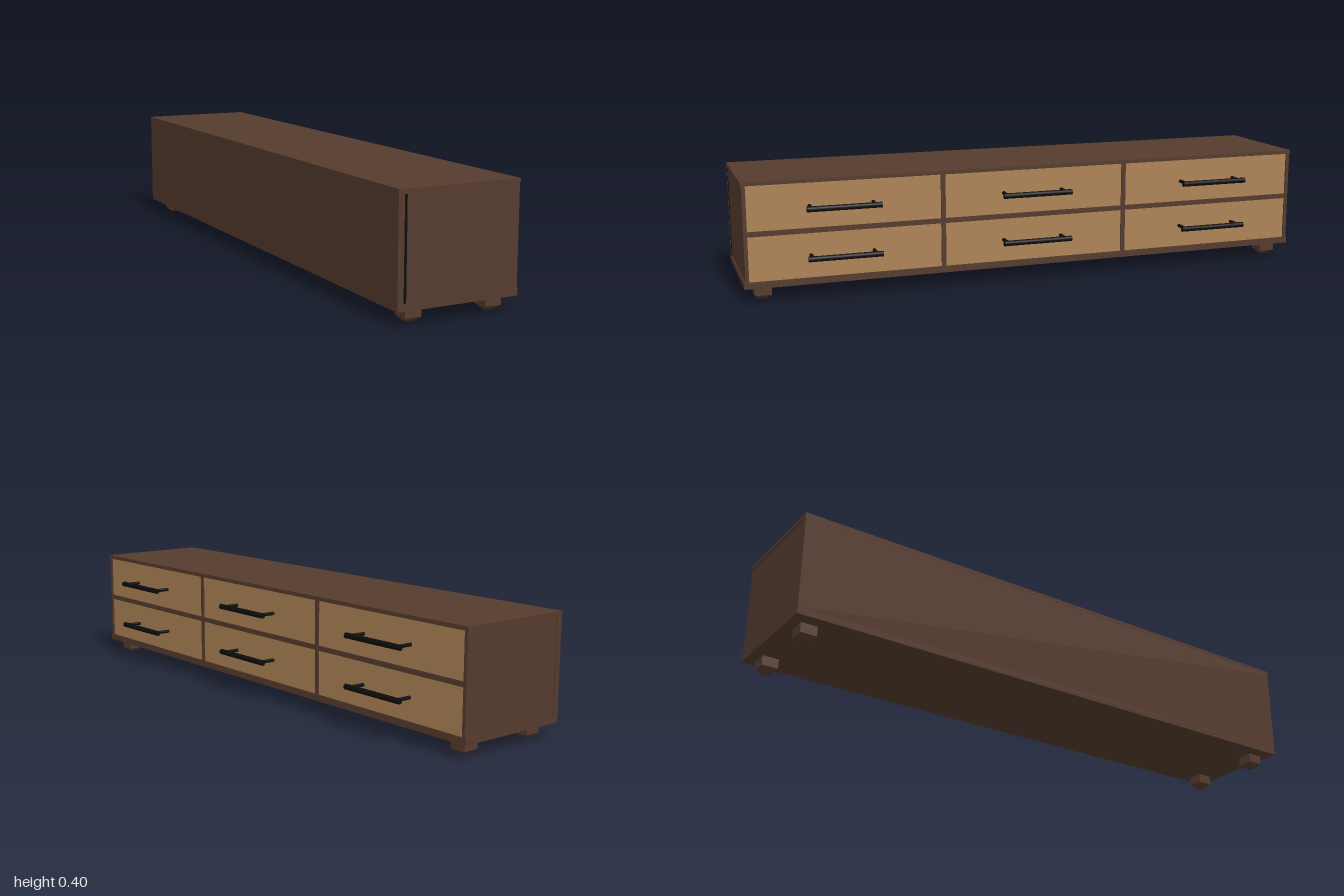
import * as THREE from 'three';

export function createModel() {
  const model = new THREE.Group();
  model.name = 'lowDrawerCabinet';

  const material = (name, color) => {
    const m = new THREE.MeshStandardMaterial({ color });
    m.name = name;
    return m;
  };
  const brown = material('dark brown wood', 0x553b2e);
  const tan = material('light wood', 0xad8456);
  const black = material('black metal', 0x0d0d0d);

  const add = (parent, name, geometry, mat) => {
    const mesh = new THREE.Mesh(geometry, mat);
    mesh.name = name;
    parent.add(mesh);
    return mesh;
  };
  // Box given by its lower and upper limits on each axis
  const box = (parent, name, mat, [x0, x1], [y0, y1], [z0, z1]) =>
    add(parent, name, new THREE.BoxGeometry(x1 - x0, y1 - y0, z1 - z0), mat)
      .position.set((x0 + x1) / 2, (y0 + y1) / 2, (z0 + z1) / 2);

  const back = -0.24, face = 0.173;

  // Carcass boards
  box(model, 'topBoard', brown, [back, face], [0.385, 0.398], [-1, 1]);
  box(model, 'bottomBoard', brown, [back, face], [0.047, 0.069], [-1, 1]);
  box(model, 'backPanel', brown, [back, -0.22], [0.069, 0.385], [-0.999, 0.999]);
  box(model, 'leftEndPanel', brown, [-0.22, face], [0.069, 0.385], [0.984, 0.996]);
  box(model, 'rightEndPanel', brown, [-0.22, face], [0.069, 0.385], [-0.996, -0.984]);
  box(model, 'middleRail', brown, [-0.22, 0.171], [0.218, 0.235], [-0.984, 0.984]);
  for (const z of [0.333, -0.327])
    box(model, 'divider', brown, [-0.22, 0.172], [0.069, 0.385], [z - 0.008, z + 0.008]);

  // Dark joint between the end panel and the back
  box(model, 'panelJoint', black, [-0.22, -0.211], [0.069, 0.382], [0.995, 0.9985]);

  // Bar handle on two posts, centred on its own origin
  const makeHandle = () => {
    const handle = new THREE.Group();
    handle.name = 'handle';
    for (const s of [-1, 1]) {
      const post = add(handle, 'handlePost', new THREE.CylinderGeometry(0.006, 0.006, 0.064, 12), black);
      post.rotation.z = Math.PI / 2;
      post.position.set(0.195, 0, s * 0.105);
    }
    const bar = add(handle, 'handleBar', new THREE.CylinderGeometry(0.0095, 0.0095, 0.245, 12), black);
    bar.rotation.x = Math.PI / 2;
    bar.position.x = 0.227;
    return handle;
  };

  // Six drawers: three columns, two rows
  const columns = [[0.341, 0.984, 0.677], [-0.319, 0.325, 0.014], [-0.984, -0.335, -0.657]];
  const rows = [[0.069, 0.218, 0.144], [0.235, 0.385, 0.308]];
  for (const [z0, z1, handleZ] of columns)
    for (const [y0, y1, handleY] of rows) {
      box(model, 'drawerFront', tan, [0.15, 0.168], [y0, y1], [z0, z1]);
      const handle = makeHandle();
      handle.position.set(0, handleY, handleZ);
      model.add(handle);
    }

  // Square feet with a tapered lower end
  const half = 0.028;
  for (const x of [-0.166, 0.112])
    for (const z of [-0.937, 0.937]) {
      box(model, 'foot', brown, [x - half, x + half], [0.014, 0.048], [z - half, z + half]);
      const tip = new THREE.CylinderGeometry(half * Math.SQRT2, 0.013 * Math.SQRT2, 0.014, 4)
        .rotateY(Math.PI / 4).toNonIndexed();
      tip.computeVertexNormals();
      add(model, 'footTip', tip, brown).position.set(x, 0.007, z);
    }

  return model;
}
